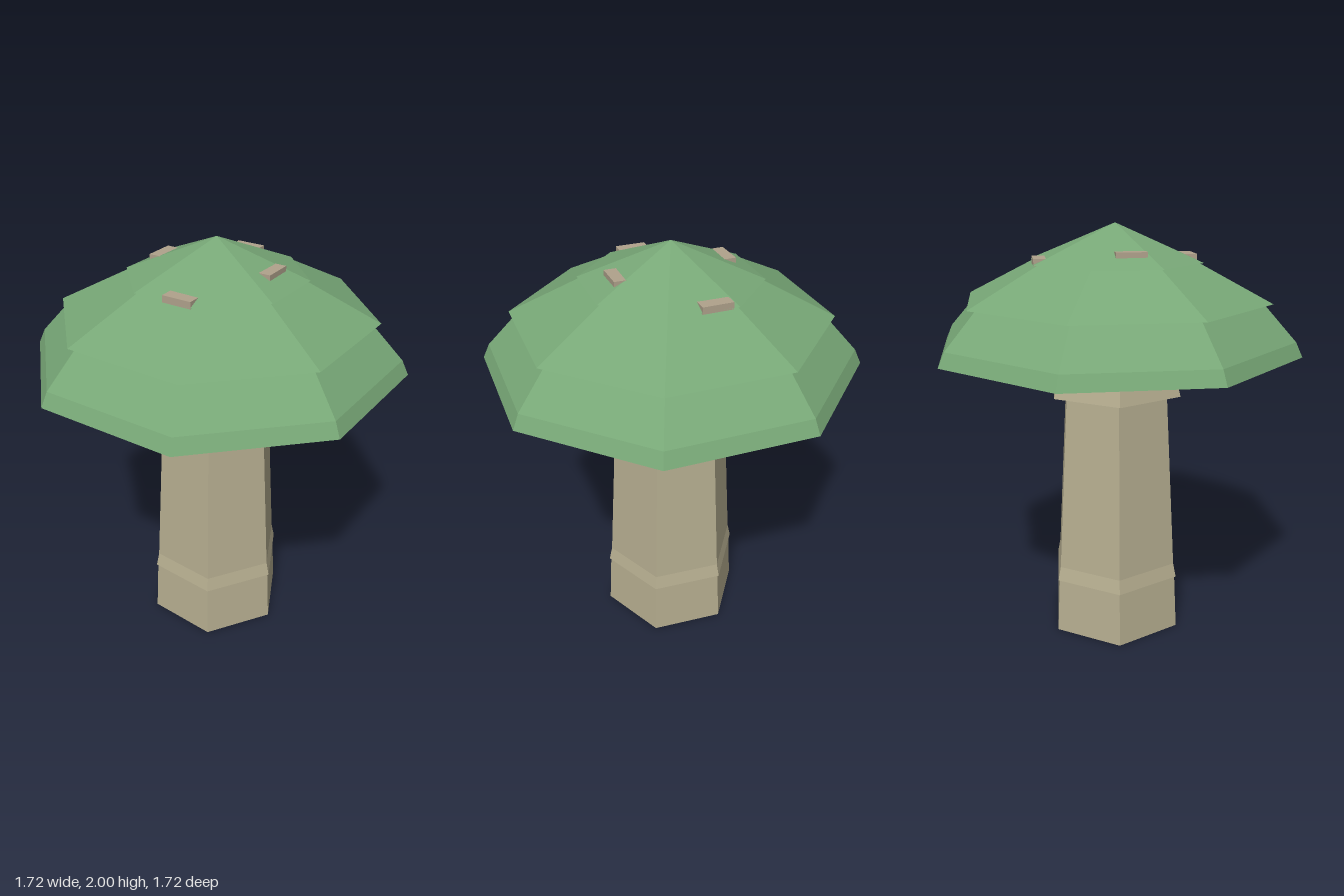
import * as THREE from 'three';

const DEG = Math.PI / 180;

const mat = (name, color) => {
  const m = new THREE.MeshStandardMaterial({ color, flatShading: true });
  m.name = name;
  return m;
};

// Faceted solid from a [radius, y] profile listed from bottom to top
function faceted(name, profile, sides, startDeg, material) {
  const points = profile.map(([r, y]) => new THREE.Vector2(r, y));
  const geo = new THREE.LatheGeometry(points, sides, startDeg * DEG).toNonIndexed();
  geo.computeVertexNormals();
  const mesh = new THREE.Mesh(geo, material);
  mesh.name = name;
  return mesh;
}

export function createModel() {
  const green = mat('cap green', 0x78a877);
  const tan = mat('stem tan', 0xb6ae90);
  const wood = mat('plank wood', 0xb0a28c);

  const model = new THREE.Group();
  model.name = 'mushroomTower';

  const stem = (name, profile) => faceted(name, profile, 6, 30, tan);
  const cap = (name, profile, material = green) => faceted(name, profile, 8, 11.25, material);

  // Six-sided tapering stem with a stepped foot and a collar
  model.add(
    stem('stemFoot', [[0, 0], [0.347, 0], [0.332, 0.275]]),
    stem('footTrim', [[0.3, 0.275], [0.34, 0.275], [0.325, 0.345]]),
    stem('stemShaft', [[0.325, 0.345], [0.273, 1.215], [0.262, 1.39]]),
    stem('collar', [[0.26, 1.215], [0.342, 1.215], [0.32, 1.3], [0.25, 1.3]]),
  );

  // Eight-sided cap: tan underside, then three overlapping green tiers
  model.add(
    cap('capBrim', [[0, 1.385], [0.69, 1.385], [0.655, 1.42]], wood),
    cap('capUnderside', [[0, 1.42], [0.877, 1.42]], tan),
    cap('lowerTier', [[0.877, 1.42], [0.845, 1.488], [0.69, 1.657]]),
    cap('middleTier', [[0.6, 1.655], [0.735, 1.655], [0.385, 1.832]]),
    cap('topTier', [[0.3, 1.828], [0.415, 1.828], [0, 2]]),
  );

  // Level planks half sunk into the top tier, alternating high and low
  for (let i = 0; i < 4; i++) {
    const low = i % 2 === 1;
    const pivot = new THREE.Group();
    pivot.name = 'plankMount';
    pivot.rotation.y = (35 + 90 * i) * DEG;
    const plank = new THREE.Mesh(new THREE.BoxGeometry(0.14, 0.032, 0.08), wood);
    plank.name = 'plank';
    plank.position.set(low ? 0.053 : 0.028, low ? 1.838 : 1.877, low ? 0.345 : 0.253);
    pivot.add(plank);
    model.add(pivot);
  }

  return model;
}
